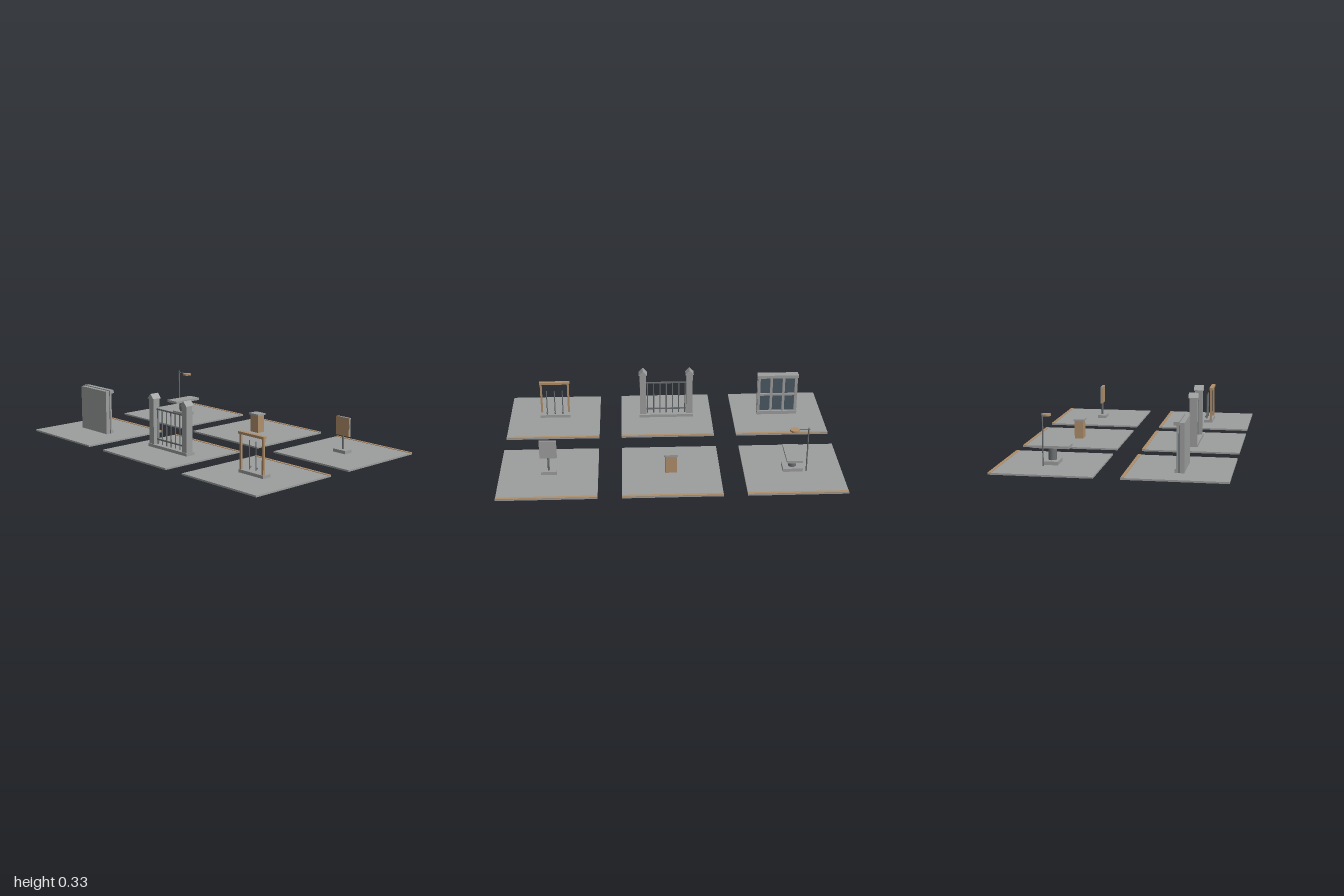
import * as THREE from 'three';

const mat = (name, color) => {
  const m = new THREE.MeshStandardMaterial({ color });
  m.name = name;
  return m;
};

export function createModel() {
  const stone = mat('stone grey', 0x9c9e9d);
  const wood = mat('warm brown', 0xb08f6c);
  const metal = mat('dark metal', 0x6c7072);
  const glass = mat('slate glass', 0x4a5963);
  const root = new THREE.Group();
  root.name = 'streetFurnitureSet';

  const add = (parent, name, geo, material) => {
    const m = new THREE.Mesh(geo, material);
    m.name = name;
    parent.add(m);
    return m;
  };
  // box given by its min and max on each axis
  const box = (parent, name, material, x0, x1, y0, y1, z0, z1) => {
    const m = add(parent, name, new THREE.BoxGeometry(x1 - x0, y1 - y0, z1 - z0), material);
    m.position.set((x0 + x1) / 2, (y0 + y1) / 2, (z0 + z1) / 2);
  };
  const rod = (parent, name, material, r, x, y0, y1, z, sides = 8) => {
    const m = add(parent, name, new THREE.CylinderGeometry(r, r, y1 - y0, sides), material);
    m.position.set(x, (y0 + y1) / 2, z);
  };
  // a paved tile with a brown strip on top along its back; contents use local x
  const tile = (name, cx, z0) => {
    const g = new THREE.Group();
    g.name = name;
    g.position.x = cx;
    root.add(g);
    box(g, 'paving', stone, -0.2875, 0.2875, 0, 0.01, z0, z0 + 0.57);
    box(g, 'edging', wood, -0.2875, 0.2875, 0.01, 0.0125, z0, z0 + 0.018);
    return g;
  };
  const BACK = -0.643, FRONT = 0.073, DX = 0.7125;

  // wall with a windowed back
  const wall = tile('windowWall', -DX, FRONT);
  box(wall, 'frontSlab', stone, -0.131, 0.127, 0.01, 0.282, 0.364, 0.39);
  box(wall, 'glassPanes', glass, -0.122, 0.122, 0.01, 0.266, 0.357, 0.364);
  box(wall, 'lintel', stone, -0.132, 0.132, 0.266, 0.286, 0.332, 0.36);
  box(wall, 'sill', stone, -0.128, 0.128, 0.01, 0.032, 0.338, 0.358);
  for (let i = 0; i < 4; i++) {
    const x = -0.118 + i * 0.236 / 3;
    box(wall, 'mullion', stone, x - 0.008, x + 0.008, 0.03, 0.267, 0.346, 0.358);
  }
  box(wall, 'transom', stone, -0.118, 0.118, 0.138, 0.152, 0.348, 0.358);

  // gate between two gabled pillars
  const gate = tile('gate', 0, FRONT);
  box(gate, 'gateBase', stone, -0.172, 0.172, 0.01, 0.028, 0.325, 0.388);
  const gable = new THREE.Shape([[-0.026, 0], [0.026, 0], [0.026, 0.004], [0, 0.032], [-0.026, 0.004]]
    .map(p => new THREE.Vector2(...p)));
  for (const s of [-1, 1]) {
    const x = s * 0.148;
    box(gate, 'pillar', stone, x - 0.02, x + 0.02, 0.028, 0.301, 0.338, 0.383);
    const cap = add(gate, 'pillarCap', new THREE.ExtrudeGeometry(gable, { depth: 0.058, bevelEnabled: false }), stone);
    cap.position.set(x, 0.3, 0.331);
  }
  for (const y of [0.057, 0.24]) box(gate, 'rail', metal, -0.13, 0.13, y - 0.004, y + 0.004, 0.353, 0.361);
  for (let i = 0; i < 7; i++) rod(gate, 'bar', metal, 0.0038, -0.12 + i * 0.04, 0.028, 0.242, 0.357);

  // timber frame with three upright rods
  const frame = tile('timberFrame', DX, FRONT);
  box(frame, 'frameBase', stone, -0.096, 0.096, 0.01, 0.028, 0.345, 0.4);
  box(frame, 'frameBeam', wood, -0.096, 0.096, 0.227, 0.241, 0.378, 0.402);
  for (const s of [-1, 1])
    box(frame, 'framePost', wood, s * 0.086 - 0.006, s * 0.086 + 0.006, 0.028, 0.228, 0.383, 0.396);
  for (const x of [-0.05, 0, 0.05]) {
    rod(frame, 'uprightRod', metal, 0.0032, x, 0.028, 0.192, 0.36);
    const knob = add(frame, 'rodKnob', new THREE.SphereGeometry(0.006, 8, 6), metal);
    knob.position.set(x, 0.042, 0.353);
  }

  // bench with a reading lamp
  const bench = tile('benchWithLamp', -DX, BACK);
  box(bench, 'benchBase', stone, -0.058, 0.058, 0.01, 0.03, -0.402, -0.315);
  rod(bench, 'benchPedestal', metal, 0.024, 0, 0.03, 0.101, -0.358, 12);
  box(bench, 'benchTop', stone, -0.046, 0.046, 0.1, 0.115, -0.46, -0.256);
  rod(bench, 'lampPole', metal, 0.004, -0.08, 0.01, 0.295, -0.392);
  box(bench, 'lampArm', metal, -0.088, 0.006, 0.281, 0.2848, -0.395, -0.389);
  rod(bench, 'lampShade', wood, 0.028, 0, 0.274, 0.285, -0.392, 8);

  // lidded bin
  const bin = tile('bin', 0, BACK);
  box(bin, 'binBody', wood, -0.034, 0.034, 0.01, 0.12, -0.385, -0.333);
  box(bin, 'binLid', stone, -0.04, 0.04, 0.119, 0.13, -0.39, -0.326);

  // sign board on a post
  const sign = tile('signBoard', DX, BACK);
  box(sign, 'signBase', stone, -0.046, 0.046, 0.01, 0.029, -0.382, -0.326);
  rod(sign, 'signPost', metal, 0.006, 0, 0.029, 0.112, -0.358);
  box(sign, 'signBack', stone, -0.05, 0.05, 0.11, 0.222, -0.363, -0.352);
  box(sign, 'signFace', wood, -0.049, 0.049, 0.111, 0.221, -0.352, -0.349);

  return root;
}
